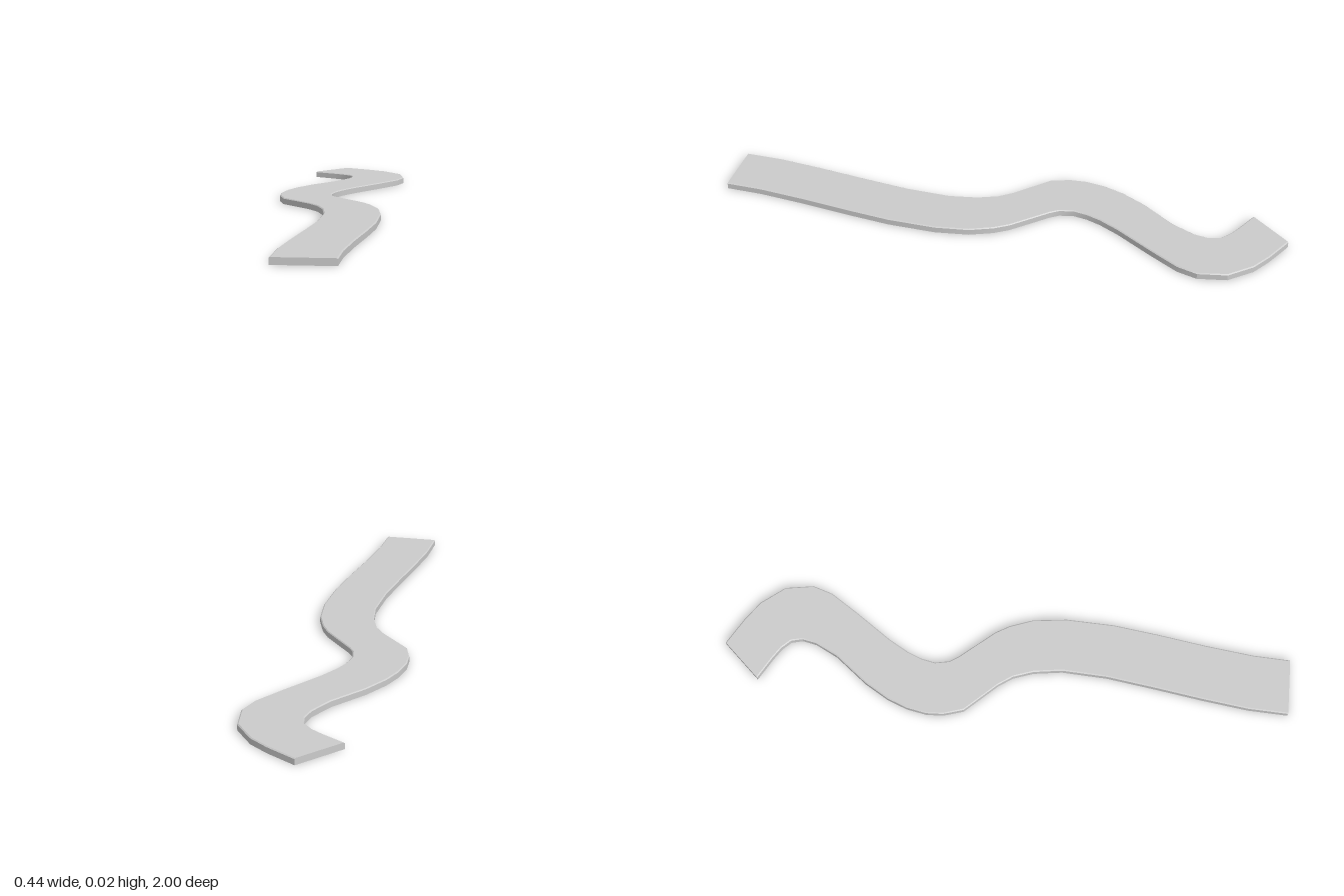
import * as THREE from 'three';
import { toCreasedNormals } from 'three/addons/utils/BufferGeometryUtils.js';

const HEIGHT = 0.023, SIDE = 0.02, INSET = 0.004;

// Paired edge points along the path, front to back: [rightX, rightZ, leftX, leftZ]
const STATIONS = [
  [-0.095, 1, 0.105, 1], [-0.09, 0.86, 0.11, 0.87], [-0.07, 0.7, 0.13, 0.7],
  [-0.045, 0.53, 0.155, 0.53], [-0.022, 0.36, 0.175, 0.37], [-0.015, 0.2, 0.18, 0.2],
  [-0.03, 0.1, 0.165, 0.08], [-0.055, 0.03, 0.135, 0], [-0.09, -0.02, 0.105, -0.05],
  [-0.195, -0.13, 0, -0.17], [-0.217, -0.2, -0.02, -0.2], [-0.22, -0.26, -0.03, -0.25],
  [-0.207, -0.33, -0.02, -0.3], [-0.18, -0.4, 0, -0.35], [-0.13, -0.485, 0.04, -0.42],
  [-0.04, -0.6, 0.13, -0.55], [0, -0.68, 0.195, -0.65], [0.01, -0.73, 0.217, -0.72],
  [0, -0.77, 0.2, -0.82], [-0.03, -0.8, 0.135, -0.9], [-0.07, -0.825, 0.07, -0.945],
  [-0.15, -0.868, -0.03, -1],
];

// Slab section with a small chamfer along both upper edges
function section([ax, az, bx, bz]) {
  const a = new THREE.Vector3(ax, 0, az), b = new THREE.Vector3(bx, 0, bz);
  const inward = b.clone().sub(a).setLength(INSET);
  const at = (p, y, shift = 0) => p.clone().addScaledVector(inward, shift).setY(y);
  return [at(a, 0), at(b, 0), at(b, SIDE), at(b, HEIGHT, -1), at(a, HEIGHT, 1), at(a, SIDE)];
}

function loftGeometry(rings) {
  const n = rings[0].length, last = (rings.length - 1) * n;
  const index = [];
  for (let i = 0; i < rings.length - 1; i++) {
    for (let j = 0; j < n; j++) {
      const a = i * n + j, b = i * n + (j + 1) % n, c = b + n, d = a + n;
      index.push(a, c, b, a, d, c);
    }
  }
  // End caps
  for (let j = 1; j < n - 1; j++) {
    index.push(0, j, j + 1, last, last + j + 1, last + j);
  }
  const geometry = new THREE.BufferGeometry().setFromPoints(rings.flat());
  geometry.setIndex(index);
  return toCreasedNormals(geometry, 0.4);
}

export function createModel() {
  const group = new THREE.Group();
  group.name = 'windingPath';
  const path = new THREE.Mesh(
    loftGeometry(STATIONS.map(section)),
    new THREE.MeshStandardMaterial({ color: 0xcccccc }),
  );
  path.name = 'pathSlab';
  group.add(path);
  return group;
}
